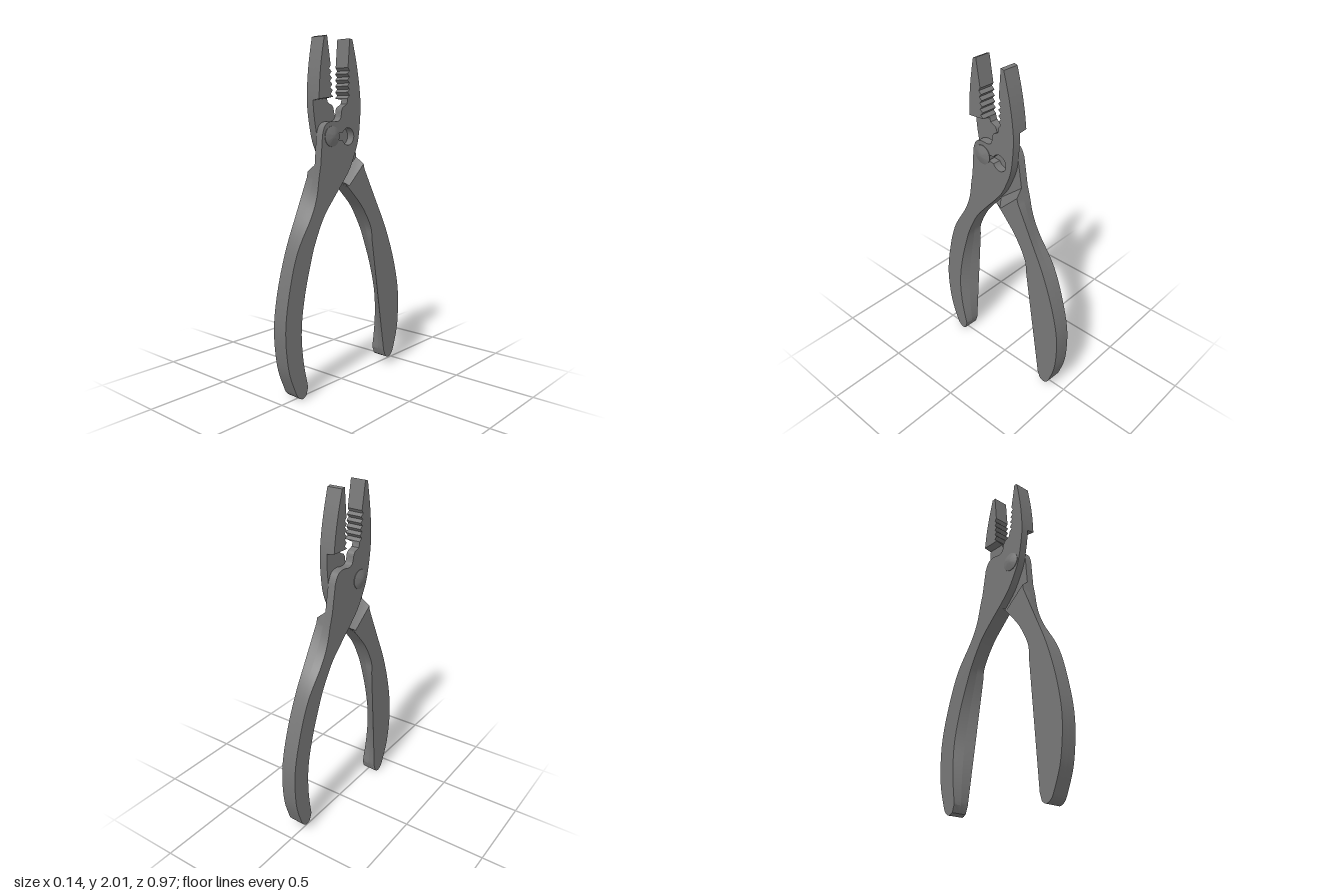
import * as THREE from 'three';
import { toCreasedNormals } from 'three/addons/utils/BufferGeometryUtils.js';

const H = 0.048; // half thickness of the tool
const PIVOT = [0.125, 1.46];
const SLOT = [-0.005, 1.457];
const material = new THREE.MeshStandardMaterial({ color: 0x777777 });
const v2 = (p) => new THREE.Vector2(p[0], p[1]);
const smooth = (pts, n) => new THREE.SplineCurve(pts.map(v2)).getPoints(n).map((p) => [p.x, p.y]);
const blend = (a, b) => a.map((p, i) => [(p[0] + b[i][0]) / 2, (p[1] + b[i][1]) / 2]);

// Solid ruled between two matching [z, y] outlines at xNear (+x side) and xFar
function ruledSolid(name, near, far, xNear, xFar, holes = []) {
  if (THREE.ShapeUtils.isClockWise(near.map(v2))) {
    near = [...near].reverse();
    far = [...far].reverse();
  }
  const pos = [];
  const put = (x, ...pts) => pts.forEach((p) => pos.push(x, p[1], p[0]));
  const cap = (outline, x, flip) => {
    const all = [...outline, ...holes.flat()];
    const faces = THREE.ShapeUtils.triangulateShape(outline.map(v2), holes.map((h) => h.map(v2)));
    for (const [a, b, c] of faces) put(x, all[a], all[flip ? c : b], all[flip ? b : c]);
  };
  const wall = (n, f) => n.forEach((p, i) => {
    const j = (i + 1) % n.length;
    put(xNear, p, n[j]);
    put(xFar, f[j]);
    put(xNear, p);
    put(xFar, f[j], f[i]);
  });
  cap(near, xNear, true);
  cap(far, xFar, false);
  wall(near, far);
  holes.forEach((h) => wall(h, h));
  const geo = new THREE.BufferGeometry();
  geo.setAttribute('position', new THREE.Float32BufferAttribute(pos, 3));
  const mesh = new THREE.Mesh(toCreasedNormals(geo, 0.5), material);
  mesh.name = name;
  return mesh;
}

// Keyhole slot: two round seats joined by a neck, listed clockwise
function slotOutline() {
  const pts = [];
  const arc = (c, r, from, to) => {
    for (let i = 0; i <= 20; i++) {
      const a = from + ((to - from) * i) / 20;
      pts.push([c[0] + r * Math.cos(a), c[1] + r * Math.sin(a)]);
    }
  };
  arc(SLOT, 0.049, -0.42, -2 * Math.PI + 0.42);
  arc(PIVOT, 0.049, Math.PI - 0.42, -Math.PI + 0.42);
  return pts;
}

// One half of the pliers: jaw, joint plate and handle
function createHalf(name, holes) {
  // gripping side of the jaw
  const grip = [[-0.018, 2], [-0.004, 1.84]];
  for (let i = 0; i < 5; i++) grip.push([-0.017, 1.823 - i * 0.034], [0, 1.806 - i * 0.034]);

  // joint plate around the pivot
  const plate = [[0, 1.655], ...smooth([[0.005, 1.638], [0.02, 1.629], [0.035, 1.622],
    [0.046, 1.606], [0.05, 1.58], [0.06, 1.553], [0.087, 1.541], [0.14, 1.541], [0.18, 1.52],
    [0.2, 1.47]], 36), [0.214, 1.305]];

  // back of the plate and jaw
  const back = smooth([[0.035, 1.2], [-0.02, 1.27], [-0.06, 1.35], [-0.09, 1.43], [-0.105, 1.53],
    [-0.11, 1.64], [-0.098, 1.75], [-0.074, 1.87], [-0.04, 1.995]], 32);

  // handle edges, differing between the two faces
  const outer = (z1, z2) => smooth([[0.228, 1.235], [z1, 1.13], [z2, 1.02], [0.395, 0.84],
    [0.457, 0.625], [0.487, 0.413], [0.468, 0.2], [0.42, 0.06], [0.395, 0.016], [0.363, 0],
    [0.335, 0.015]], 50);
  const innerPts = [[0.323, 0.06], [0.358, 0.23], [0.368, 0.41], [0.34, 0.6], [0.29, 0.785],
    [0.257, 0.88], [0.193, 1.01], [0.114, 1.11], [0.045, 1.188]];
  const straightPts = innerPts.map(([z, y]) => [y < 0.88 ? 0.257 + (0.88 - y) * 0.078 : z, y]);
  const nearHandle = [...outer(0.246, 0.29), ...smooth(innerPts, 40)];
  const farHandle = [...outer(0.273, 0.32), ...smooth(straightPts, 40)];
  const midHandle = blend(nearHandle, farHandle);

  const half = new THREE.Group();
  half.name = name;
  half.add(ruledSolid('jointPlateAndHandle',
    [...grip, ...plate, ...nearHandle, ...back],
    [...grip, ...plate, ...midHandle, ...back], H, 0, holes));

  // other side of the jaw, ending in a step above the joint
  const jawBack = back.filter((p) => p[1] > 1.69);
  const jaw = (y) => [...grip, [0, y], [-0.109, y - 0.003], ...jawBack];
  half.add(ruledSolid('jawStep', jaw(1.662), jaw(1.669), 0, -H));

  // other side of the handle, ending in a sloping shoulder
  half.add(ruledSolid('handleShoulder',
    [[0.214, 1.305], ...midHandle.slice(0, -1), [0.045, 1.188]],
    [[0.223, 1.265], ...farHandle.slice(0, -1), [0.08, 1.148]], 0, -H));
  return half;
}

export function createModel() {
  const model = new THREE.Group();
  model.name = 'slipJointPliers';
  model.add(createHalf('slottedHalf', [slotOutline()]));

  // second half is the first turned around the tool's long axis
  const turned = createHalf('rivetedHalf', []);
  const axis = new THREE.Vector3(0, 1.97, 0.084).normalize();
  const base = new THREE.Vector3(0, 0.028, -0.012);
  turned.quaternion.setFromAxisAngle(axis, Math.PI);
  turned.position.copy(base).sub(base.clone().applyQuaternion(turned.quaternion));
  turned.position.addScaledVector(axis, 0.013);
  model.add(turned);

  // rivet with low conical heads
  const profile = [[0, 0.065], [0.018, 0.0635], [0.057, 0.051], [0.057, 0.046], [0.0485, 0.046]];
  const full = [...profile.map(([r, h]) => [r, -h]), ...profile.reverse()];
  const rivetGeo = new THREE.LatheGeometry(full.map(v2), 40).toNonIndexed();
  const rivet = new THREE.Mesh(toCreasedNormals(rivetGeo, 0.5), material);
  rivet.name = 'rivet';
  rivet.rotation.z = Math.PI / 2;
  rivet.position.set(0, PIVOT[1], PIVOT[0]);
  model.add(rivet);

  model.rotation.y = -0.046;
  const root = new THREE.Group();
  root.name = 'pliers';
  root.add(model);
  return root;
}
